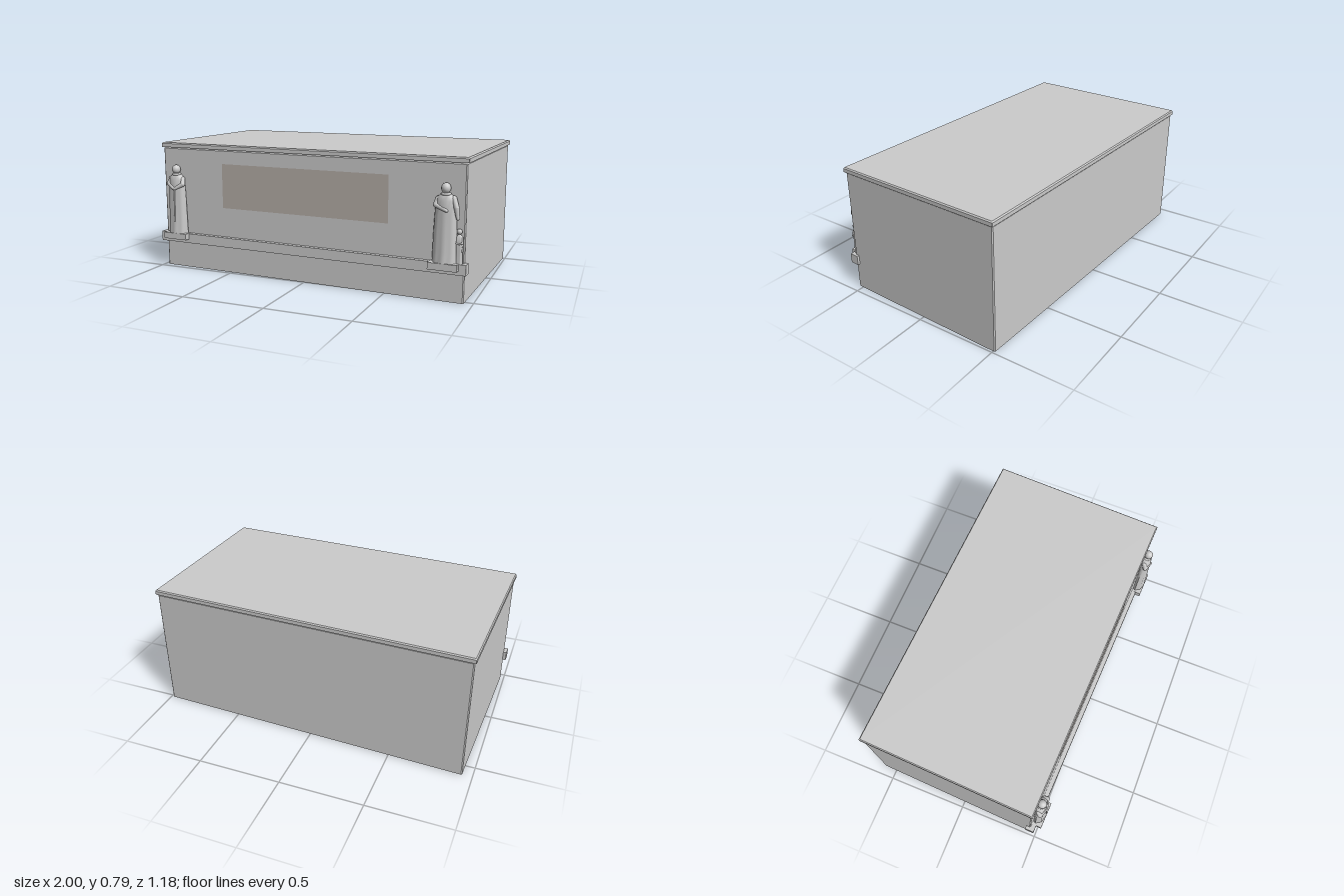
import * as THREE from 'three';
import { toCreasedNormals } from 'three/addons/utils/BufferGeometryUtils.js';

const grey = new THREE.MeshStandardMaterial({ color: 0xcccccc });
const greyThin = new THREE.MeshStandardMaterial({ color: 0xcccccc, side: THREE.DoubleSide });
const panelGrey = new THREE.MeshStandardMaterial({ color: 0xb6afa8 });

function add(parent, name, geometry, material = grey) {
  const mesh = new THREE.Mesh(geometry, material);
  mesh.name = name;
  parent.add(mesh);
  return mesh;
}

function box(parent, name, x0, x1, y0, y1, z0, z1) {
  const mesh = add(parent, name, new THREE.BoxGeometry(x1 - x0, y1 - y0, z1 - z0));
  mesh.position.set((x0 + x1) / 2, (y0 + y1) / 2, (z0 + z1) / 2);
  return mesh;
}

// Skin over stacked rings; each ring is a list of [x, y, z] running from +z towards +x
function loft(rings, crease) {
  const n = rings[0].length, index = [];
  for (let r = 0; r < rings.length - 1; r++)
    for (let i = 0; i < n; i++) {
      const a = r * n + i, b = r * n + (i + 1) % n;
      index.push(a, b, b + n, a, b + n, a + n);
    }
  const geometry = new THREE.BufferGeometry();
  geometry.setAttribute('position', new THREE.Float32BufferAttribute(rings.flat(2), 3));
  geometry.setIndex(index);
  return toCreasedNormals(geometry, crease);
}

// Rectangle with small chamfered corners
function slabRing(y, hx, hz, c = 0.006) {
  return [[-hx + c, y, hz], [hx - c, y, hz], [hx, y, hz - c], [hx, y, -hz + c],
    [hx - c, y, -hz], [-hx + c, y, -hz], [-hx, y, -hz + c], [-hx, y, hz - c]];
}

// Ellipse with shallow drapery folds; section = [y, rx, rz, fold, z]
function robeRing([y, rx, rz, fold, z = 0]) {
  return Array.from({ length: 32 }, (_, i) => {
    const a = i / 32 * Math.PI * 2, k = 1 + fold * Math.cos(8 * a);
    return [Math.sin(a) * rx * k, y, Math.cos(a) * rz * k + z];
  });
}

// Tapered limb through points, rounded at every joint
function limb(parent, name, points, radii) {
  const group = new THREE.Group();
  group.name = name;
  const up = new THREE.Vector3(0, 1, 0);
  const v = points.map(p => new THREE.Vector3(...p));
  v.forEach((p, i) => {
    add(group, name + 'Joint', new THREE.SphereGeometry(radii[i], 12, 8)).position.copy(p);
    if (i === v.length - 1) return;
    const d = v[i + 1].clone().sub(p);
    const part = add(group, name + 'Segment', new THREE.CylinderGeometry(radii[i + 1], radii[i], d.length(), 12, 1, true));
    part.position.copy(p).addScaledVector(d, 0.5);
    part.quaternion.setFromUnitVectors(up, d.normalize());
  });
  parent.add(group);
}

// Robed standing figure, feet at y = 0
function robedFigure(name) {
  const group = new THREE.Group();
  group.name = name;
  const sections = [
    [0, 0.066, 0.042, 0.05], [0.06, 0.064, 0.039, 0.05], [0.16, 0.062, 0.036, 0.04],
    [0.26, 0.058, 0.033, 0.03], [0.30, 0.055, 0.033, 0.02], [0.335, 0.053, 0.031, 0],
    [0.355, 0.045, 0.027, 0], [0.37, 0.026, 0.021, 0], [0.38, 0.015, 0.015, 0], [0.40, 0.013, 0.014, 0],
    [0.401, 0.0005, 0.0005, 0],
  ];
  add(group, 'robe', loft(sections.map(robeRing), 0.9));
  const head = add(group, 'head', new THREE.SphereGeometry(0.026, 20, 14));
  head.position.set(0, 0.4, 0.004);
  head.scale.set(1, 1.1, 1.05);
  const collar = add(group, 'collar', new THREE.TorusGeometry(0.02, 0.008, 8, 20));
  collar.position.set(0, 0.37, 0.002);
  collar.rotation.x = Math.PI / 2;
  return group;
}

export function createModel() {
  const model = new THREE.Group();
  const tomb = new THREE.Group();
  tomb.name = 'tomb';
  tomb.rotation.y = -0.036;
  tomb.position.set(0.005, 0, -0.025);
  model.add(tomb);

  // Hollow body, open underneath
  add(tomb, 'body', loft([slabRing(0, 0.965, 0.5225), slabRing(0.748, 0.965, 0.5225),
    slabRing(0.756, 0.957, 0.5145)], 0.4), greyThin);

  // Lid with a softened upper edge, closed above and below
  add(tomb, 'lid', loft([slabRing(0.756, 0, 0, 0), slabRing(0.756, 0.975, 0.53, 0.002),
    slabRing(0.778, 0.975, 0.53, 0.002), slabRing(0.785, 0.969, 0.524, 0.002), slabRing(0.785, 0, 0, 0)], 0.4));

  // Front panel and ledge
  add(tomb, 'frontPanel', new THREE.PlaneGeometry(1.07, 0.27), panelGrey).position.set(-0.001, 0.535, 0.5245);
  box(tomb, 'ledge', -0.985, 0.98, 0.162, 0.221, 0.495, 0.55);

  // Pedestals and the two large figures
  const [right, left] = [-1, 1].map(s => {
    const x = s * 0.86;
    box(tomb, 'pedestal', x - 0.082, x + 0.08, 0.186, 0.224, 0.53, 0.583);
    const figure = robedFigure(s < 0 ? 'rightFigure' : 'leftFigure');
    figure.position.set(x, 0.222, 0.539);
    tomb.add(figure);
    return figure;
  });

  // Right figure: both arms folded, cord hanging from the hands
  for (const s of [-1, 1])
    limb(right, 'foldedArm', [[s * 0.042, 0.342, 0], [s * 0.051, 0.31, 0.014], [s * 0.004, 0.282, 0.033]], [0.015, 0.015, 0.009]);
  limb(right, 'cord', [[0, 0.28, 0.034], [0, 0.08, 0.039]], [0.005, 0.004]);

  // Left figure: one arm across the chest, one reaching down to the child
  limb(left, 'foldedArm', [[-0.042, 0.342, 0], [-0.051, 0.31, 0.014], [0.012, 0.285, 0.033]], [0.015, 0.015, 0.009]);
  limb(left, 'loweredArm', [[0.042, 0.345, 0], [0.06, 0.3, 0.01], [0.069, 0.245, 0.012]], [0.017, 0.015, 0.01]);

  // Small child figure beside the left one
  const child = new THREE.Group();
  child.name = 'child';
  child.position.set(0.936, 0.22, 0.532);
  tomb.add(child);
  add(child, 'childRobe', loft([[0, 0.021, 0.018, 0.03], [0.07, 0.019, 0.017, 0.03], [0.12, 0.022, 0.017, 0],
    [0.148, 0.018, 0.014, 0], [0.16, 0.006, 0.006, 0], [0.175, 0.0005, 0.0005, 0]].map(robeRing), 0.9));
  add(child, 'childHead', new THREE.SphereGeometry(0.015, 16, 12)).position.set(0, 0.175, 0.002);
  for (const s of [-1, 1])
    limb(child, 'childArm', [[s * 0.016, 0.143, 0.002], [s * 0.019, 0.115, 0.008], [s * 0.004, 0.11, 0.018]], [0.006, 0.006, 0.004]);

  return model;
}
